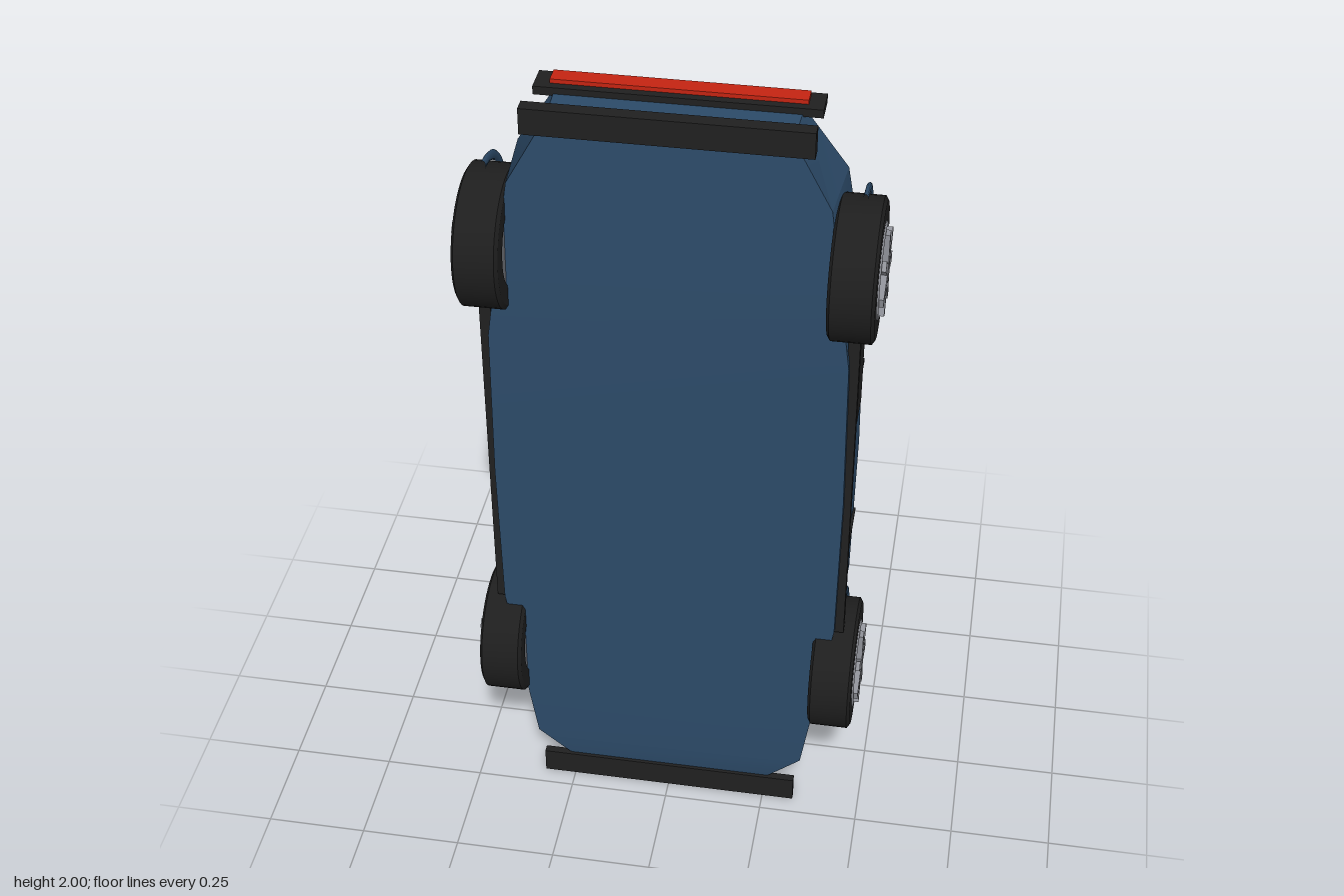
import * as THREE from 'three';
import { toCreasedNormals } from 'three/addons/utils/BufferGeometryUtils.js';
import { RoundedBoxGeometry } from 'three/addons/geometries/RoundedBoxGeometry.js';

const mat = (name, color) => Object.assign(new THREE.MeshStandardMaterial({ color }), { name });

// Car standing on its nose: length runs along y, its underside faces +z, its deck -z
export function createModel() {
  const car = new THREE.Group();
  car.name = 'car';
  const paint = mat('bluePaint', 0x2c4a68);
  const rubber = mat('tyreRubber', 0x1e1e1e);
  const trim = mat('blackTrim', 0x202020);
  const alloy = mat('alloy', 0x8f9198);
  const alloyDark = mat('darkAlloy', 0x73757c);
  const silver = mat('silver', 0x9a9ca3);
  const engineRed = mat('engineRed', 0xb02a30);
  const lampRed = mat('tailRed', 0xc42412);

  const add = (name, geo, m, parent = car) => {
    const mesh = new THREE.Mesh(geo, m);
    mesh.name = name;
    parent.add(mesh);
    return mesh;
  };
  // Box given by its limits, with optional rounded edges
  const box = (name, m, [x0, x1], [y0, y1], [z0, z1], r = 0) => {
    const s = [x1 - x0, y1 - y0, z1 - z0];
    const geo = r ? new RoundedBoxGeometry(...s, 3, r) : new THREE.BoxGeometry(...s);
    const mesh = add(name, geo, m);
    mesh.position.set((x0 + x1) / 2, (y0 + y1) / 2, (z0 + z1) / 2);
    return mesh;
  };
  // The same box on both sides
  const pair = (name, m, [x0, x1], y, z, r) => {
    box(name + 'Left', m, [x0, x1], y, z, r);
    box(name + 'Right', m, [-x1, -x0], y, z, r);
  };
  // Closed skin over cross-section rings running counterclockwise about +y
  const loft = (rings) => {
    const pos = [], n = rings[0].length;
    const tri = (a, b, c) => pos.push(...a, ...b, ...c);
    for (let i = 0; i < rings.length - 1; i++) {
      for (let j = 0; j < n; j++) {
        const k = (j + 1) % n;
        tri(rings[i][j], rings[i][k], rings[i + 1][k]);
        tri(rings[i][j], rings[i + 1][k], rings[i + 1][j]);
      }
    }
    const first = rings[0], last = rings[rings.length - 1];
    for (let j = 1; j < n - 1; j++) {
      tri(first[0], first[j + 1], first[j]);
      tri(last[0], last[j], last[j + 1]);
    }
    const geo = new THREE.BufferGeometry();
    geo.setAttribute('position', new THREE.Float32BufferAttribute(pos, 3));
    return toCreasedNormals(geo, 0.4);
  };

  // Body stations: y, half width below, half width at shoulder, z of floor, shoulder, deck centre
  const stations = [
    [0.04, 0.2, 0.2, 0.19, 0.045, 0.035],
    [0.07, 0.265, 0.27, 0.197, 0.02, 0.01],
    [0.14, 0.345, 0.35, 0.2, -0.01, -0.022],
    [0.27, 0.365, 0.37, 0.2, -0.03, -0.045],
    [0.43, 0.385, 0.4, 0.2, -0.045, -0.06],
    [0.6, 0.415, 0.425, 0.2, -0.055, -0.07],
    [1.0, 0.42, 0.43, 0.2, -0.065, -0.085],
    [1.4, 0.415, 0.425, 0.2, -0.06, -0.08],
    [1.62, 0.385, 0.4, 0.19, -0.045, -0.065],
    [1.8, 0.36, 0.375, 0.18, -0.01, -0.03],
    [1.96, 0.27, 0.275, 0.168, 0.025, 0.015],
  ];
  add('body', loft(stations.map(([y, wb, wt, zb, zs, zc]) => {
    const ring = [[wb, y, zb]];
    for (let k = -4; k <= 4; k++) {
      const t = -k / 4;
      ring.push([wt * t, y, zc + (zs - zc) * t * t]);
    }
    ring.push([-wb, y, zb]);
    return ring;
  })), paint);

  // Wheels with spoked rims, and arches over them
  const tyreProfile = [[0.112, -0.053], [0.155, -0.053], [0.166, -0.046], [0.166, 0.046],
    [0.155, 0.053], [0.112, 0.053], [0.112, -0.053]].map(([r, h]) => new THREE.Vector2(r, h));
  const tyreGeo = toCreasedNormals(new THREE.LatheGeometry(tyreProfile, 48).rotateZ(-Math.PI / 2), 0.5);
  const rimGeo = new THREE.CylinderGeometry(0.113, 0.113, 0.1, 40).rotateZ(-Math.PI / 2);
  const lipGeo = new THREE.TorusGeometry(0.105, 0.008, 8, 40).rotateY(Math.PI / 2);
  const hubGeo = new THREE.CylinderGeometry(0.026, 0.026, 0.03, 20).rotateZ(-Math.PI / 2);
  const archGeo = new THREE.TorusGeometry(0.18, 0.012, 8, 40, Math.PI)
    .scale(1, 1, 0.5).rotateZ(Math.PI / 2).rotateY(-Math.PI / 2);
  const SPOKES = 7;
  for (const [end, y] of [['front', 0.43], ['rear', 1.62]]) {
    for (const s of [1, -1]) {
      const wheel = new THREE.Group();
      wheel.name = end + (s > 0 ? 'LeftWheel' : 'RightWheel');
      wheel.position.set(s * 0.417, y, 0.117);
      if (s < 0) wheel.rotation.y = Math.PI;
      car.add(wheel);
      add('tyre', tyreGeo, rubber, wheel);
      add('rim', rimGeo, alloyDark, wheel);
      add('rimLip', lipGeo, alloy, wheel).position.x = 0.049;
      add('hub', hubGeo, alloy, wheel).position.x = 0.053;
      for (let i = 0; i < SPOKES; i++) {
        const spoke = new THREE.BoxGeometry(0.022, 0.09, 0.024).translate(0.056, 0.055, 0)
          .rotateX((i / SPOKES) * Math.PI * 2);
        add('spoke', spoke, alloy, wheel);
      }
      const arch = add(end + 'Arch', archGeo, paint);
      arch.position.set(s * 0.425, y, 0.117);
      // Keep the half ring on the deck side
      arch.geometry.computeBoundingBox();
      if (arch.geometry.boundingBox.max.z > 0.1) arch.rotation.y = Math.PI;
    }
  }

  // Bumpers, grille and lamps
  box('frontBumper', trim, [-0.33, 0.33], [0, 0.067], [0.185, 0.205]);
  box('rearBumper', trim, [-0.32, 0.32], [1.937, 2], [0.166, 0.2]);
  box('grille', trim, [-0.19, 0.19], [0.034, 0.045], [0.09, 0.155]);
  pair('frontLamp', silver, [0.19, 0.33], [0.043, 0.06], [0.057, 0.088], 0.006);
  box('tailPanel', trim, [-0.32, 0.32], [1.955, 1.975], [-0.017, 0.056]);
  box('tailLight', lampRed, [-0.285, 0.285], [1.975, 1.985], [-0.007, 0.036]);

  // Side trim
  pair('sideSkirt', trim, [0.41, 0.437], [0.59, 1.47], [0.155, 0.185]);
  pair('sideVent', trim, [0.41, 0.432], [1.16, 1.41], [-0.02, 0.117]);
  for (const y of [0.79, 1.25]) pair('doorSeam', trim, [0.415, 0.432], [y - 0.004, y + 0.004], [-0.055, 0.15]);

  // Hood panels and grooves
  pair('headlightCover', paint, [0.165, 0.345], [0.21, 0.385], [-0.063, -0.055]);
  pair('hoodGroove', trim, [0.246, 0.254], [0.27, 0.54], [-0.066, -0.05]);

  // Cabin
  box('roof', paint, [-0.26, 0.26], [0.84, 1.19], [-0.285, -0.268], 0.008);
  pair('seatBack', trim, [0.05, 0.257], [1.1, 1.183], [-0.245, -0.05], 0.03);
  pair('seatCushion', trim, [0.05, 0.257], [0.93, 1.12], [-0.115, -0.04], 0.025);
  box('dashboard', trim, [-0.29, 0.29], [0.715, 0.835], [-0.18, -0.05], 0.015);
  box('dashboardLip', trim, [-0.28, 0.28], [0.708, 0.72], [-0.188, -0.15]);
  box('rollBar', trim, [-0.297, 0.297], [1.193, 1.222], [-0.205, -0.185]);
  pair('mirror', trim, [0.327, 0.403], [0.81, 0.865], [-0.144, -0.108], 0.008);

  // Engine cover on a tapered plate following the rear deck
  const plate = [[1.33, 0.115, -0.076], [1.62, 0.145, -0.07]].map(([y, w, z]) =>
    [[w, y, -0.05], [w, y, z], [-w, y, z], [-w, y, -0.05]]);
  add('enginePlate', loft(plate), silver);
  box('engineCover', engineRed, [-0.092, 0.092], [1.36, 1.545], [-0.112, -0.06], 0.01);
  return car;
}
